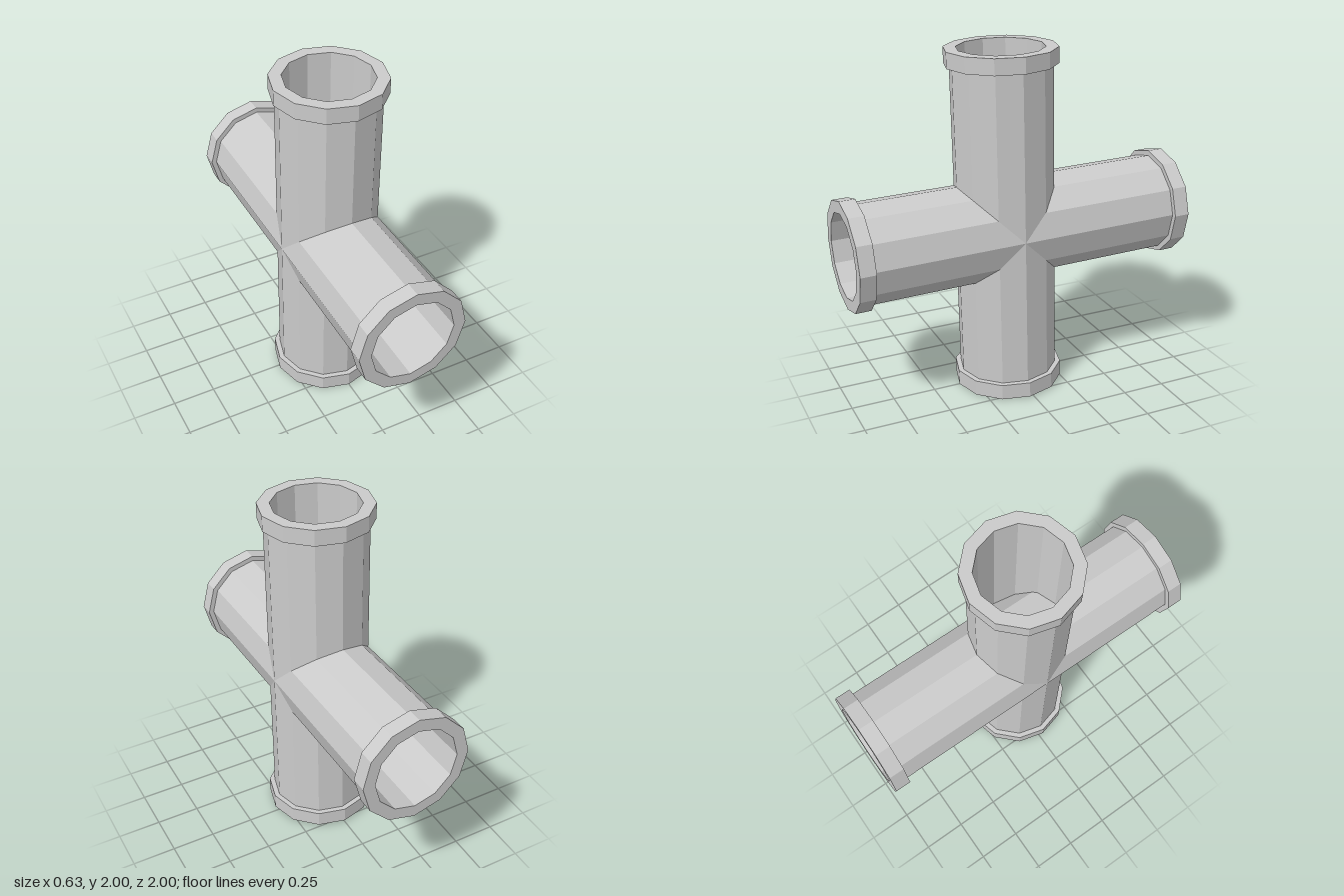
import * as THREE from 'three';

const SIDES = 12;
const INNER = 0.245, PIPE = 0.285, RIM = 0.315;
const HALF = 0.95, COLLAR = 0.09;

export function createModel() {
  const model = new THREE.Group();
  model.name = 'crossPipe';
  const material = new THREE.MeshStandardMaterial({ color: 0xcccccc, flatShading: true });

  // Hollow faceted ring running from y0 to y1
  const ring = (name, outer, y0, y1) => {
    const profile = [[INNER, y0], [outer, y0], [outer, y1], [INNER, y1], [INNER, y0]]
      .map(([r, y]) => new THREE.Vector2(r, y));
    const mesh = new THREE.Mesh(new THREE.LatheGeometry(profile, SIDES), material);
    mesh.name = name;
    return mesh;
  };

  // Pipe with one collar around its start and one extending its far end
  const pipe = (name) => {
    const group = new THREE.Group();
    group.name = name;
    group.add(
      ring('tube', PIPE, -HALF, HALF),
      ring('startCollar', RIM, -HALF, -HALF + COLLAR),
      ring('endCollar', RIM, HALF, HALF + COLLAR)
    );
    return group;
  };

  const upright = pipe('uprightPipe');
  const level = pipe('levelPipe');
  level.rotation.x = -Math.PI / 2; // far end points to the back

  // The whole cross leans slightly forward
  const cross = new THREE.Group();
  cross.name = 'cross';
  cross.add(upright, level);
  cross.rotation.x = 0.02;
  cross.position.set(0, 0.956, 0.045);
  model.add(cross);
  return model;
}
